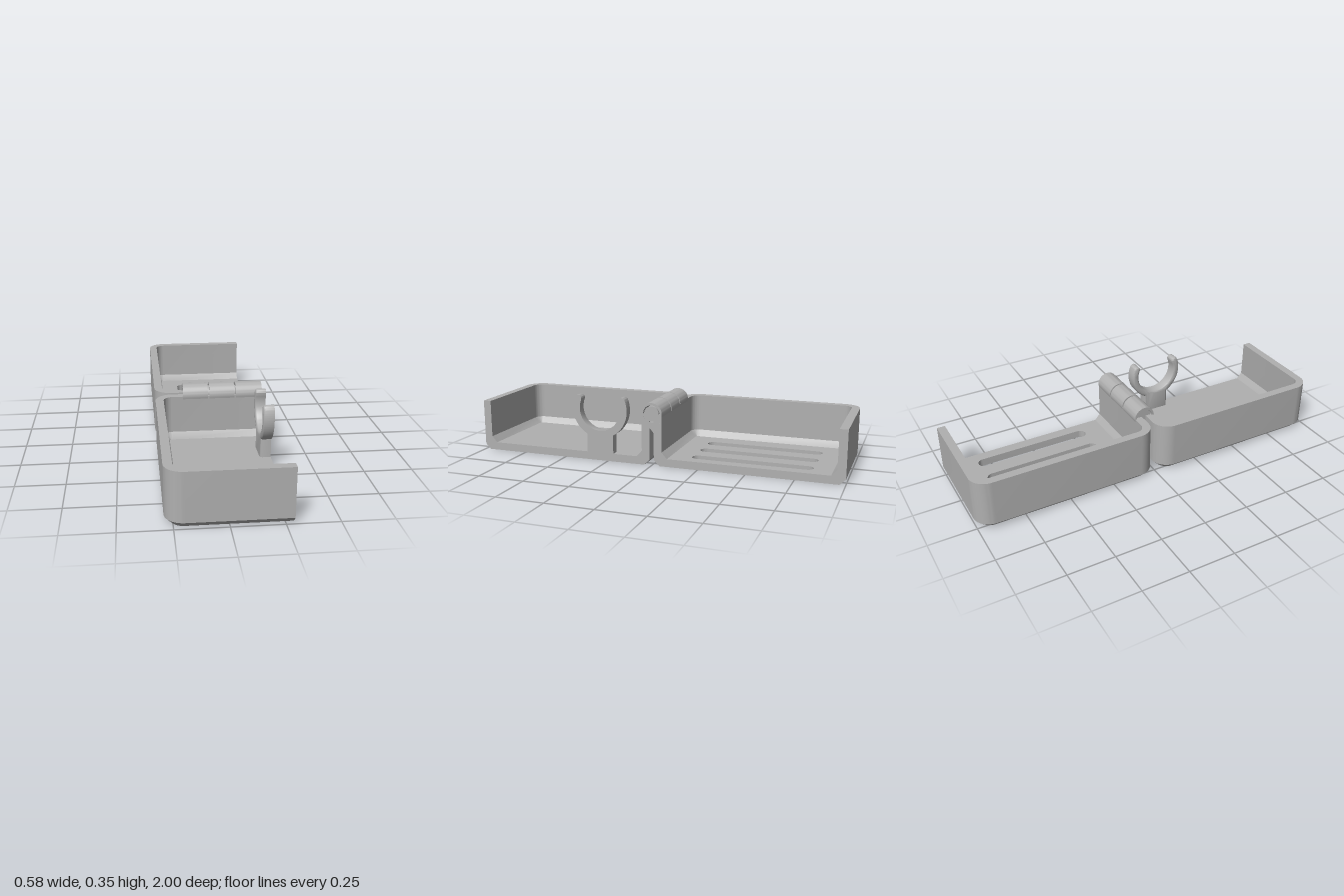
import * as THREE from 'three';
import { toCreasedNormals } from 'three/addons/utils/BufferGeometryUtils.js';

const CUT = 0.29;    // x of the open, cut side
const H = 0.277;     // wall height
const R = 0.09;      // outer corner radius
const FLOOR = 0.042; // floor thickness
const PIN_Y = H;     // hinge axis height

// Wall cross-section as [inset from outline, height]
const WALL = [[0.03, 0], [0, 0.03], [0, H], [0.043, H], [0.043, 0.075], [0.072, FLOOR], [0.03, FLOOR]];

// Open-ended tray outline, inset by d, as [x, z] points
function outline(z0, z1, d) {
  const pts = [[CUT, z0 + d]];
  const n = 14, r = R - d;
  for (const [cz, start] of [[z0 + R, -Math.PI / 2], [z1 - R, -Math.PI]]) {
    for (let i = 0; i <= n; i++) {
      const a = start - (i / n) * Math.PI / 2;
      pts.push([-CUT + R + r * Math.cos(a), cz + r * Math.sin(a)]);
    }
  }
  pts.push([CUT, z1 - d]);
  return pts;
}

// Sweep of the wall section around the outline
function wallGeometry(z0, z1) {
  const pos = [];
  for (let j = 0; j < WALL.length - 2; j++) {
    const [d0, y0] = WALL[j], [d1, y1] = WALL[j + 1];
    const lo = outline(z0, z1, d0), hi = outline(z0, z1, d1);
    for (let i = 0; i < lo.length - 1; i++) {
      const a = [lo[i][0], y0, lo[i][1]], b = [lo[i + 1][0], y0, lo[i + 1][1]];
      const c = [hi[i + 1][0], y1, hi[i + 1][1]], e = [hi[i][0], y1, hi[i][1]];
      pos.push(...a, ...b, ...c, ...a, ...c, ...e);
    }
  }
  const g = new THREE.BufferGeometry();
  g.setAttribute('position', new THREE.Float32BufferAttribute(pos, 3));
  return toCreasedNormals(g, 0.5);
}

// Shapes drawn in (-z, y) are turned to run along x
const alongX = (g, x) => g.rotateY(Math.PI / 2).translate(x, 0, 0);
const polygon = pts => new THREE.Shape(pts.map(p => new THREE.Vector2(p[0], p[1])));

export function createModel() {
  const model = new THREE.Group();
  const grey = new THREE.MeshStandardMaterial({ color: 0xb0b0b0 });
  grey.name = 'grey plastic';
  const add = (name, geometry, parent = model) => {
    const m = new THREE.Mesh(geometry, grey);
    m.name = name;
    parent.add(m);
    return m;
  };

  // Two trays, the back one with drainage slots
  function tray(name, z0, z1, slots) {
    const group = new THREE.Group();
    group.name = name;
    model.add(group);
    add('walls', wallGeometry(z0, z1), group);
    for (const [z, dir] of [[z0, 1], [z1, -1]]) {
      const section = polygon(WALL.map(([d, y]) => [-(z + dir * d), y]));
      add('wallEnd', alongX(new THREE.ShapeGeometry(section), CUT), group);
    }
    const shape = polygon(outline(z0, z1, 0.03).map(([x, z]) => [x, -z]));
    for (const x of slots) {
      const w = 0.032, hole = new THREE.Path();
      hole.absarc(x, 0.83 - w, w, 0, Math.PI, false);
      hole.absarc(x, 0.195 + w, w, Math.PI, 2 * Math.PI, false);
      hole.closePath();
      shape.holes.push(hole);
    }
    const floor = new THREE.ExtrudeGeometry(shape, { depth: FLOOR, bevelEnabled: false, curveSegments: 12 });
    add('floor', toCreasedNormals(floor.rotateX(-Math.PI / 2), 0.5), group);
  }
  tray('frontTray', 0.012, 1, []);
  tray('backTray', -1, -0.012, [-0.09, 0.055, 0.2]);

  // Hinge knuckles, alternately carried by the back and front tray
  const hinge = new THREE.Group();
  hinge.name = 'hinge';
  model.add(hinge);
  [[-0.14, -0.005, 1], [0.004, 0.14, -1], [0.148, CUT + 0.0005, 1]].forEach(([x0, x1, side]) => {
    const ring = new THREE.Shape().absarc(0, PIN_Y, 0.057, 0, Math.PI * 2, false);
    ring.holes.push(new THREE.Path().absarc(0, PIN_Y, 0.045, 0, Math.PI * 2, true));
    const opts = { depth: x1 - x0, bevelEnabled: false, curveSegments: 24 };
    add('knuckle', toCreasedNormals(alongX(new THREE.ExtrudeGeometry(ring, opts), x0), 0.5), hinge);
    const web = polygon([[side * 0.05, 0.14], [side * 0.05, 0.231], [-side * 0.036, 0.231], [side * 0.012, 0.175]]);
    add('knuckleWeb', alongX(new THREE.ExtrudeGeometry(web, opts), x0), hinge);
  });
  const pin = new THREE.CylinderGeometry(0.04, 0.04, 0.42, 40).rotateZ(Math.PI / 2);
  add('hingePin', pin.translate(CUT + 0.0005 - 0.21, PIN_Y, 0), hinge);

  // Round clip on a stem, with rounded arm tips
  const cx = -0.293, cy = 0.278, ro = 0.155, ri = 0.115, rm = (ro + ri) / 2, half = 0.075;
  const tip = 0.38, d = Math.asin(half / ro), PI = Math.PI;
  const clip = new THREE.Shape();
  clip.absarc(cx, cy, ro, tip, -(PI / 2 - d), true);
  clip.lineTo(cx + half, 0.005);
  clip.lineTo(cx - half, 0.005);
  clip.absarc(cx, cy, ro, -(PI / 2 + d), -PI - tip, true);
  clip.absarc(cx - rm * Math.cos(tip), cy + rm * Math.sin(tip), 0.02, PI - tip, -tip, true);
  clip.absarc(cx, cy, ri, PI - tip, 2 * PI + tip, false);
  clip.absarc(cx + rm * Math.cos(tip), cy + rm * Math.sin(tip), 0.02, PI + tip, tip, true);
  const clipGeo = alongX(new THREE.ExtrudeGeometry(clip, {
    depth: 0.055, bevelThickness: 0.014, bevelSize: 0.014, bevelOffset: -0.014, bevelSegments: 4, curveSegments: 20,
  }), 0.247);
  // Flatten everything past the cut side
  const p = clipGeo.attributes.position;
  for (let i = 0; i < p.count; i++) p.setX(i, Math.min(p.getX(i), CUT));
  add('clip', toCreasedNormals(clipGeo, 0.6));

  return model;
}
